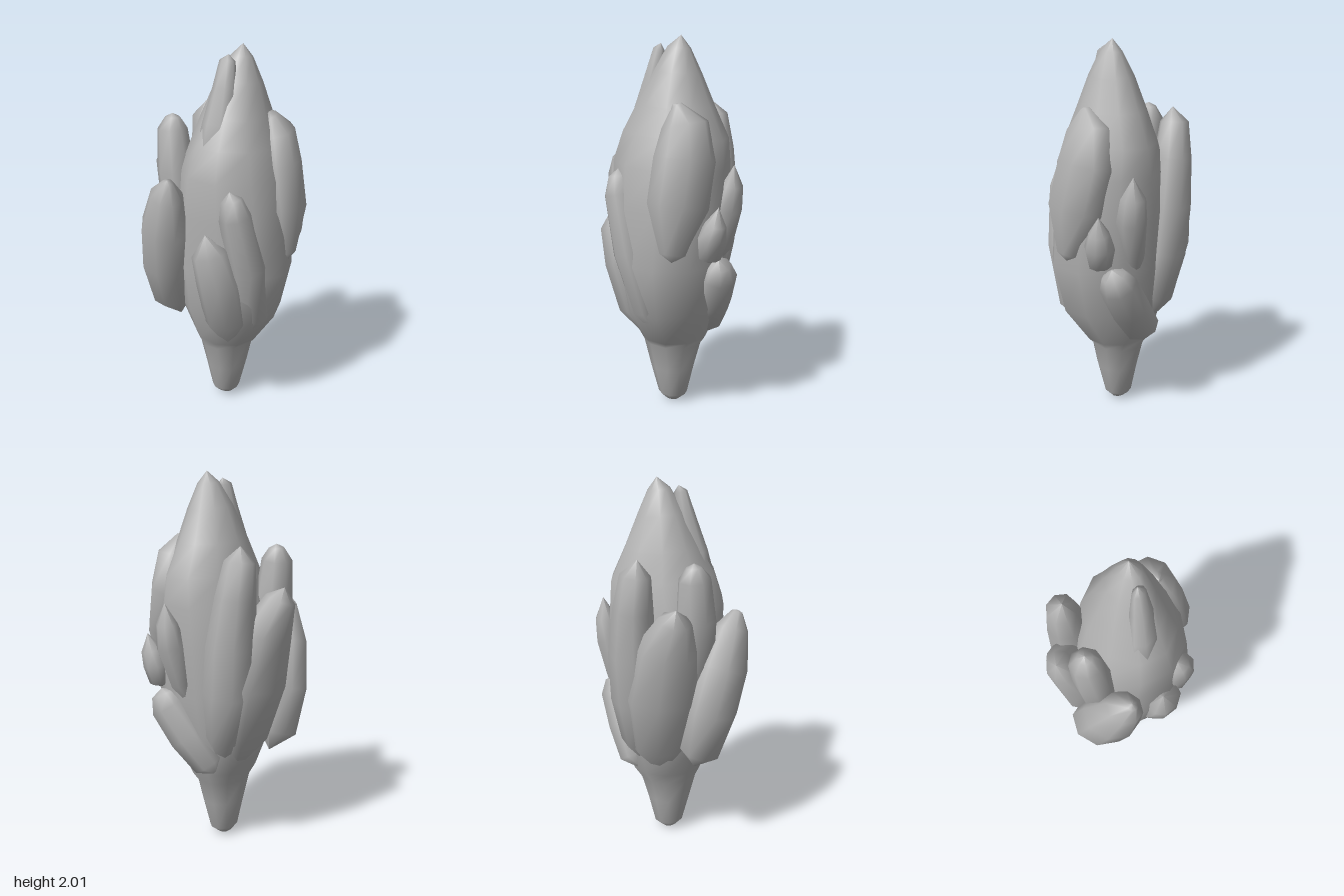
import * as THREE from 'three';

const grey = new THREE.MeshStandardMaterial({ color: 0xb2b2b2 });
grey.name = 'stone grey';

// Skin a closed body over rings [x, y, z, halfWidth, halfDepth] listed from bottom to top.
// Rings are square to the path; depth points away from the axis, or along a fixed direction.
function skin(name, rings, sides = 8, fixedOut = null) {
  const centres = rings.map(r => new THREE.Vector3(r[0], r[1], r[2]));
  const last = rings.length - 1;
  const position = [], index = [];
  rings.forEach(([, , , width, depth], i) => {
    const t = centres[Math.min(i + 1, last)].clone().sub(centres[Math.max(i - 1, 0)]).normalize();
    const mid = centres[Math.round(last / 2)];
    const out = fixedOut ? fixedOut.clone() : new THREE.Vector3(mid.x, 0, mid.z).normalize();
    out.addScaledVector(t, -out.dot(t)).normalize();
    const side = out.clone().cross(t);
    for (let k = 0; k < sides; k++) {
      const a = (k / sides) * Math.PI * 2 + Math.PI / 2;
      const p = centres[i].clone()
        .addScaledVector(side, Math.cos(a) * width)
        .addScaledVector(out, Math.sin(a) * depth);
      position.push(p.x, p.y, p.z);
      if (i < last) {
        const n = (k + 1) % sides, lo = i * sides, hi = lo + sides;
        index.push(lo + k, lo + n, hi + n, lo + k, hi + n, hi + k);
      }
    }
  });
  const geometry = new THREE.BufferGeometry();
  geometry.setAttribute('position', new THREE.Float32BufferAttribute(position, 3));
  geometry.setIndex(index);
  geometry.computeVertexNormals();
  const mesh = new THREE.Mesh(geometry, grey);
  mesh.name = name;
  return mesh;
}

export function createModel() {
  const model = new THREE.Group();
  model.name = 'scaly bud';
  const front = new THREE.Vector3(0, 0, 1);

  // Stalk and main pointed body in one skin
  model.add(skin('body', [
    [-0.01, 0, 0.01, 0, 0], [-0.01, 0.004, 0.01, 0.04, 0.04], [0, 0.04, 0.01, 0.08, 0.075],
    [0, 0.2, 0.015, 0.12, 0.11], [0, 0.345, 0.015, 0.158, 0.14], [0.01, 0.4, 0.01, 0.19, 0.18],
    [0, 0.6, 0.04, 0.265, 0.285], [0, 0.85, 0.055, 0.3, 0.33], [0.01, 1.15, 0.055, 0.31, 0.31],
    [0.01, 1.35, 0.06, 0.31, 0.275], [0.03, 1.5, 0.06, 0.28, 0.225],
    [0.03, 1.65, 0.06, 0.205, 0.175], [0.04, 1.82, 0.065, 0.125, 0.115],
    [0.05, 1.94, 0.07, 0.06, 0.055], [0.06, 2, 0.07, 0, 0],
  ], 10, front));

  // Scales wrapped around the body
  const scales = {
    crestScale: [
      [-0.16, 1.25, 0.06, 0, 0], [-0.155, 1.45, 0.06, 0.11, 0.085], [-0.125, 1.62, 0.06, 0.09, 0.07],
      [-0.085, 1.8, 0.06, 0.06, 0.05], [-0.06, 1.93, 0.06, 0.04, 0.03], [-0.05, 1.96, 0.06, 0, 0],
    ],
    frontScale: [
      [0.09, 0.89, 0.35, 0, 0], [0.095, 0.93, 0.34, 0.07, 0.045], [0.11, 1.17, 0.3, 0.16, 0.12],
      [0.13, 1.4, 0.25, 0.16, 0.12], [0.125, 1.57, 0.23, 0.12, 0.1], [0.08, 1.66, 0.23, 0.03, 0.03],
      [0.06, 1.67, 0.23, 0, 0],
    ],
    smallBud: [
      [0.25, 0.87, 0.23, 0, 0], [0.255, 0.9, 0.235, 0.06, 0.06], [0.27, 1, 0.245, 0.08, 0.075],
      [0.295, 1.08, 0.26, 0.055, 0.055], [0.31, 1.17, 0.27, 0, 0],
    ],
    rightScale: [
      [0.24, 0.8, 0.02, 0, 0], [0.28, 0.93, 0.055, 0.055, 0.06], [0.315, 1.13, 0.09, 0.08, 0.08],
      [0.34, 1.25, 0.095, 0.065, 0.055], [0.35, 1.36, 0.1, 0, 0],
    ],
    lowerRightStub: [
      [0.15, 0.41, -0.07, 0, 0], [0.18, 0.48, -0.04, 0.1, 0.09], [0.23, 0.63, 0.06, 0.11, 0.11],
      [0.285, 0.79, 0.15, 0.1, 0.1], [0.295, 0.85, 0.18, 0.065, 0.065], [0.295, 0.88, 0.19, 0, 0],
    ],
    backRightScale: [
      [0.1, 0.42, -0.06, 0, 0], [0.14, 0.65, -0.13, 0.12, 0.11], [0.17, 0.9, -0.18, 0.14, 0.12],
      [0.185, 1.15, -0.2, 0.13, 0.115], [0.175, 1.4, -0.22, 0.105, 0.1],
      [0.16, 1.58, -0.235, 0.08, 0.075], [0.15, 1.655, -0.23, 0, 0],
    ],
    backLeftScale: [
      [-0.1, 0.75, -0.12, 0, 0], [-0.12, 1, -0.17, 0.12, 0.11], [-0.14, 1.35, -0.215, 0.105, 0.1],
      [-0.13, 1.56, -0.24, 0.085, 0.08], [-0.125, 1.62, -0.24, 0.04, 0.04], [-0.125, 1.64, -0.24, 0, 0],
    ],
    backScale: [
      [0.04, 0.4, -0.1, 0, 0], [0.05, 0.62, -0.18, 0.15, 0.1], [0.04, 0.93, -0.24, 0.2, 0.13],
      [0.01, 1.2, -0.28, 0.16, 0.12], [-0.035, 1.38, -0.34, 0.085, 0.075], [-0.04, 1.44, -0.36, 0, 0],
    ],
    leftBackScale: [
      [-0.14, 0.5, -0.2, 0, 0], [-0.17, 0.62, -0.23, 0.12, 0.11], [-0.22, 0.85, -0.22, 0.16, 0.14],
      [-0.28, 1.08, -0.18, 0.155, 0.13], [-0.325, 1.27, -0.13, 0.1, 0.085],
      [-0.35, 1.35, -0.1, 0.03, 0.03], [-0.35, 1.36, -0.1, 0, 0],
    ],
    frontLeftScale: [
      [-0.03, 0.4, 0.16, 0, 0], [-0.08, 0.6, 0.25, 0.08, 0.07], [-0.16, 0.9, 0.26, 0.1, 0.085],
      [-0.225, 1.2, 0.225, 0.085, 0.08], [-0.235, 1.29, 0.21, 0.055, 0.055], [-0.24, 1.33, 0.2, 0, 0],
    ],
    leftScale: [
      [-0.1, 0.36, 0.1, 0, 0], [-0.175, 0.58, 0.14, 0.12, 0.09], [-0.245, 0.82, 0.14, 0.12, 0.095],
      [-0.3, 1, 0.12, 0.095, 0.07], [-0.31, 1.1, 0.1, 0, 0],
    ],
  };
  for (const [name, rings] of Object.entries(scales)) model.add(skin(name, rings));

  return model;
}
